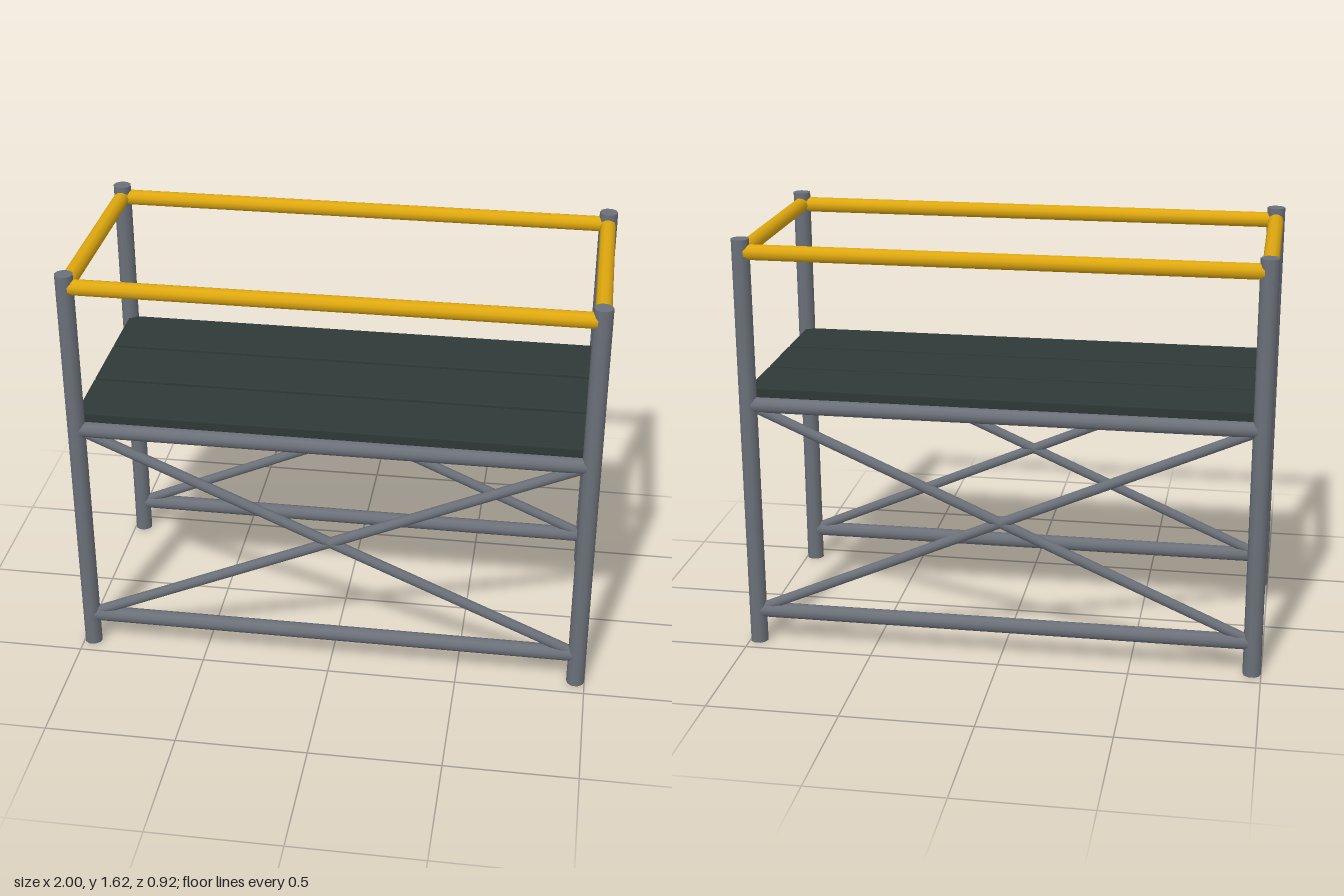
import * as THREE from 'three';
import { RoundedBoxGeometry } from 'three/addons/geometries/RoundedBoxGeometry.js';

const material = (name, color) => {
  const m = new THREE.MeshStandardMaterial({ color });
  m.name = name;
  return m;
};

export function createModel() {
  const steel = material('grey steel', 0x6b7079);
  const yellow = material('safety yellow', 0xdfa80f);
  const deckGreen = material('dark deck', 0x2f3937);

  const model = new THREE.Group();
  model.name = 'scaffold';

  const X = 0.965, Z = 0.425;
  const BASE_Y = 0.132, DECK_Y = 0.977, GUARD_Y = 1.567, POST_H = 1.617;
  const up = new THREE.Vector3(0, 1, 0);

  // Straight round tube between two points
  function tube(name, from, to, radius, mat) {
    const a = new THREE.Vector3(...from), b = new THREE.Vector3(...to);
    const dir = b.clone().sub(a);
    const geometry = new THREE.CylinderGeometry(radius, radius, dir.length(), 10);
    geometry.rotateY(Math.PI / 2);
    const mesh = new THREE.Mesh(geometry, mat);
    mesh.name = name;
    mesh.position.copy(a).add(b).multiplyScalar(0.5);
    mesh.quaternion.setFromUnitVectors(up, dir.normalize());
    model.add(mesh);
  }

  // Corner posts
  for (const x of [-X, X]) for (const z of [-Z, Z]) {
    tube('post', [x, 0, z], [x, POST_H, z], 0.035, steel);
  }

  // Long sides: base rail, deck rail, guard rail and crossed braces
  for (const z of [-Z, Z]) {
    tube('baseRail', [-X, BASE_Y, z], [X, BASE_Y, z], 0.03, steel);
    tube('deckRail', [-X, DECK_Y, z], [X, DECK_Y, z], 0.03, steel);
    tube('guardRail', [-X, GUARD_Y, z], [X, GUARD_Y, z], 0.03, yellow);
    tube('brace', [-X, BASE_Y, z], [X, DECK_Y, z], 0.02, steel);
    tube('brace', [-X, DECK_Y, z], [X, BASE_Y, z], 0.02, steel);
  }

  // Short ends: deck rail and guard rail
  for (const x of [-X, X]) {
    tube('endDeckRail', [x, DECK_Y, -Z], [x, DECK_Y, Z], 0.03, steel);
    tube('endGuardRail', [x, GUARD_Y, -Z], [x, GUARD_Y, Z], 0.03, yellow);
  }

  // Deck planks with softened edges
  for (const i of [-1, 0, 1]) {
    const plank = new THREE.Mesh(new RoundedBoxGeometry(1.93, 0.042, 0.267, 1, 0.006), deckGreen);
    plank.name = 'plank';
    plank.position.set(0, 1.021, i * 0.283);
    model.add(plank);
  }

  return model;
}
